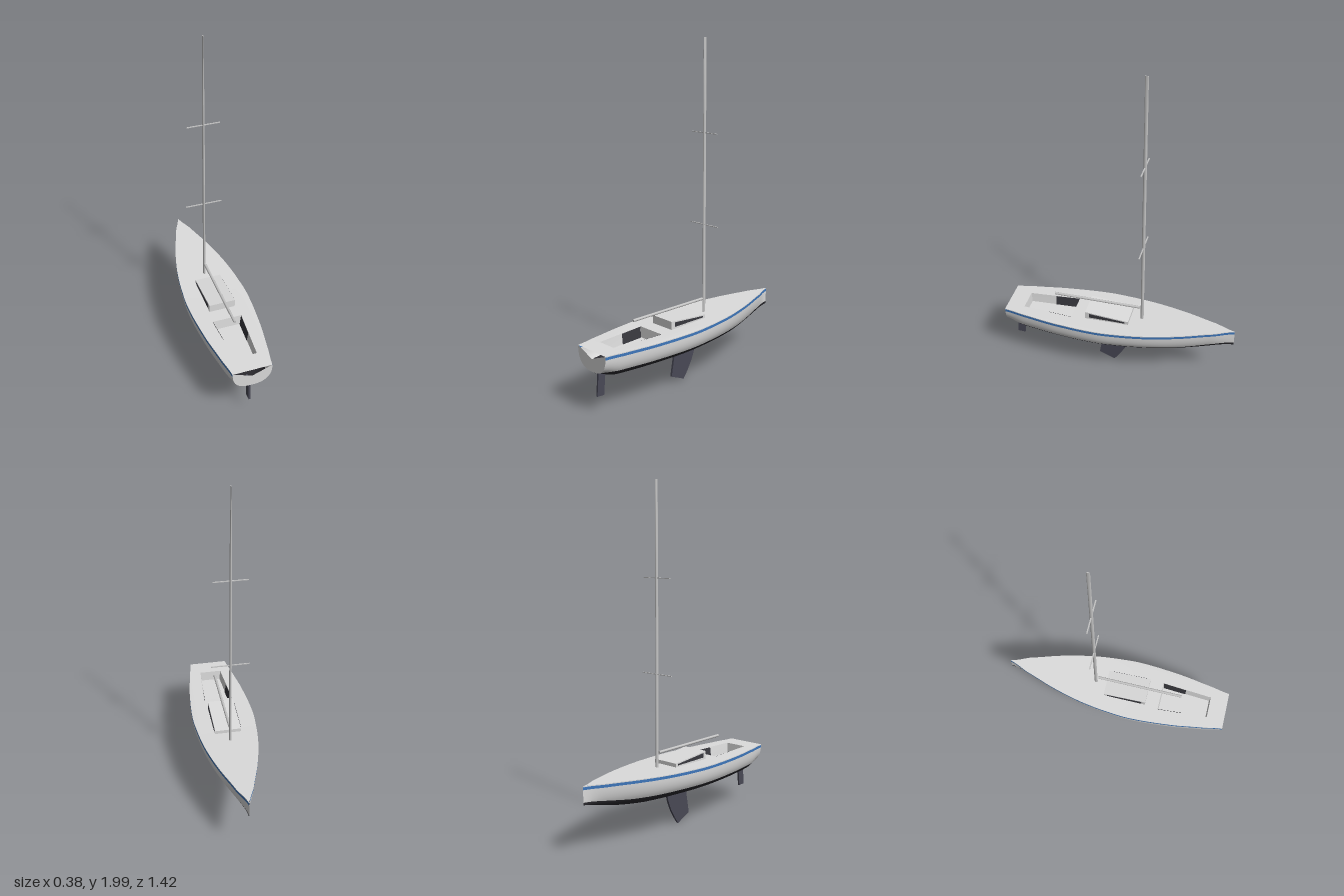
import * as THREE from 'three';

const mat = (name, color, side = THREE.FrontSide) => {
  const m = new THREE.MeshStandardMaterial({ color, side });
  m.name = name;
  return m;
};

// Piecewise smooth interpolation of [z, value] stations
function curve(points) {
  const c = new THREE.SplineCurve(points.map(p => new THREE.Vector2(p[0], p[1])));
  const n = points.length - 1;
  return z => {
    let i = 0;
    while (i < n - 1 && z > points[i + 1][0]) i++;
    const t = (z - points[i][0]) / (points[i + 1][0] - points[i][0]);
    return c.getPoint((i + Math.min(1, Math.max(0, t))) / n).y;
  };
}

const BOW = -0.71, STERN = 0.71, STEPS = 48;
const beam = curve([[-0.71, 0.001], [-0.6, 0.046], [-0.4, 0.111], [-0.2, 0.159], [0, 0.184], [0.15, 0.189], [0.4, 0.169], [0.6, 0.138], [0.71, 0.118]]);
const sheer = curve([[-0.71, 0.405], [-0.14, 0.386], [0.3, 0.378], [0.71, 0.376]]);
const keelLine = curve([[-0.71, 0.302], [-0.5, 0.252], [-0.3, 0.224], [0, 0.217], [0.4, 0.217], [0.62, 0.223], [0.71, 0.256]]);
const waterline = curve([[-0.71, 0.316], [-0.4, 0.28], [0, 0.272], [0.71, 0.27]]);
const fullness = curve([[-0.71, 1.7], [-0.3, 2.3], [0.2, 2.8], [0.71, 2.6]]);

// Half-width of the hull at station z and height y
function halfWidth(z, y) {
  const d = sheer(z), n = fullness(z);
  const t = Math.min(1, Math.max(0, (d - y) / (d - keelLine(z))));
  return beam(z) * Math.pow(1 - Math.pow(t, n), 1 / n);
}

// Surface over a grid of points f(i, j), optionally flipped
function grid(f, ni, nj, flip) {
  const pos = [], idx = [];
  for (let i = 0; i <= ni; i++) for (let j = 0; j <= nj; j++) pos.push(...f(i / ni, j / nj));
  for (let i = 0; i < ni; i++) for (let j = 0; j < nj; j++) {
    const a = i * (nj + 1) + j, b = a + 1, c = a + nj + 1, d = c + 1;
    idx.push(...(flip ? [a, b, c, b, d, c] : [a, c, b, b, c, d]));
  }
  const g = new THREE.BufferGeometry();
  g.setAttribute('position', new THREE.Float32BufferAttribute(pos, 3));
  g.setIndex(idx);
  g.computeVertexNormals();
  return g;
}

// Flat blade cut from a side outline of [z, y] points
function blade(outline, thickness) {
  const s = new THREE.Shape(outline.map(([z, y]) => new THREE.Vector2(-z, y)));
  const g = new THREE.ExtrudeGeometry(s, { depth: thickness, bevelEnabled: false });
  g.translate(0, 0, -thickness / 2);
  return g.rotateY(Math.PI / 2);
}

// Move every vertex of a geometry by a rule
function warp(g, rule) {
  const p = g.attributes.position, v = new THREE.Vector3();
  for (let i = 0; i < p.count; i++) {
    rule(v.fromBufferAttribute(p, i));
    p.setXYZ(i, v.x, v.y, v.z);
  }
  g.computeVertexNormals();
  return g;
}

export function createModel() {
  const white = mat('white hull', 0xdcdcdc, THREE.DoubleSide);
  const blue = mat('blue stripe', 0x3f78bd, THREE.DoubleSide);
  const bottom = mat('dark bottom paint', 0x2c2b30, THREE.DoubleSide);
  const fin = mat('fin grey', 0x484855);
  const metal = mat('mast metal', 0xc4c4c4);
  const glass = mat('dark trim', 0x38383e, THREE.DoubleSide);

  const model = new THREE.Group();
  const add = (name, geometry, material, parent = model) => {
    const m = new THREE.Mesh(geometry, material);
    m.name = name;
    parent.add(m);
    return m;
  };

  // Hull: bands between two heights, mirrored to both sides
  const hull = new THREE.Group();
  hull.name = 'hull';
  model.add(hull);
  const stripeTop = z => sheer(z) - 0.005, stripeLow = z => sheer(z) - 0.021;
  const bands = [
    ['gunwale', sheer, stripeTop, white, 1],
    ['stripe', stripeTop, stripeLow, blue, 1],
    ['topside', stripeLow, waterline, white, 8],
    ['underbody', waterline, keelLine, bottom, 12],
  ];
  for (const side of [1, -1]) for (const [name, top, low, material, rows] of bands) {
    add(name, grid((u, v) => {
      const z = BOW + (STERN - BOW) * u;
      const w = name === 'underbody' ? Math.sin(v * Math.PI / 2) : v;
      const y = top(z) + (low(z) - top(z)) * w;
      return [side * (v === 1 && name === 'underbody' ? 0 : halfWidth(z, y)), y, z];
    }, STEPS, rows, side > 0), material, hull);
  }

  // Transom with a shallow V notch at the top
  const transom = new THREE.Shape();
  transom.moveTo(0, 0.33);
  const top = sheer(STERN), low = keelLine(STERN);
  const edge = [];
  for (let i = 0; i <= 16; i++) {
    const y = top + (low - top) * Math.sin(i / 16 * Math.PI / 2);
    edge.push([halfWidth(STERN, y), y]);
  }
  edge.forEach(([x, y]) => transom.lineTo(-x, y));
  edge.slice(0, -1).reverse().forEach(([x, y]) => transom.lineTo(x, y));
  add('transom', new THREE.ShapeGeometry(transom).translate(0, 0, STERN), white, hull);

  // Deck following the sheer, with the cockpit opening
  const deckPoints = [];
  for (let i = 0; i <= STEPS; i++) {
    const z = BOW + (STERN - BOW) * i / STEPS;
    deckPoints.push(new THREE.Vector2(beam(z), -z));
  }
  const port = deckPoints.slice(1).reverse().map(p => new THREE.Vector2(-p.x, p.y));
  const deckShape = new THREE.Shape([...deckPoints, ...port]);
  const rim = [[-0.09, 0.285], [0.09, 0.285], [0.067, 0.6], [-0.067, 0.6]];
  deckShape.holes.push(new THREE.Path(rim.map(([x, z]) => new THREE.Vector2(x, -z))));
  const deck = new THREE.ShapeGeometry(deckShape).rotateX(-Math.PI / 2);
  add('deck', warp(deck, v => { v.y = sheer(v.z); }), white);

  // Cockpit well: sloping walls and a floor
  const floorY = 0.315;
  const sole = [[-0.08, 0.29], [0.08, 0.29], [0.062, 0.595], [-0.062, 0.595]];
  const wall = (k, a, b, inset = 0) => (u, v) => {
    const n = (k + 1) % 4, t = a + (b - a) * u, mix = (p, q, s) => p + (q - p) * s;
    const x = mix(mix(rim[k][0], rim[n][0], t), mix(sole[k][0], sole[n][0], t), v);
    const z = mix(mix(rim[k][1], rim[n][1], t), mix(sole[k][1], sole[n][1], t), v);
    return [x - Math.sign(x) * inset, mix(sheer(z), floorY, v), z];
  };
  for (let k = 0; k < 4; k++) add('cockpitWall', grid(wall(k, 0, 1), 1, 1, true), white);
  add('cockpitFloor', new THREE.ShapeGeometry(new THREE.Shape(
    sole.map(([x, z]) => new THREE.Vector2(x, -z)))).rotateX(-Math.PI / 2).translate(0, floorY, 0), white);
  add('cockpitTrim', grid(wall(1, 0.01, 0.48, 0.002), 1, 1, true), glass);
  add('cockpitTrim', grid(wall(3, 0.52, 0.99, 0.002), 1, 1, true), glass);

  // Low cabin with a roof sloping down toward the bow
  const roof = z => 0.406 + (z + 0.07) / 0.27 * 0.022;
  const cabin = new THREE.BoxGeometry(0.16, 0.04, 0.27).translate(0, 0, 0.065);
  add('cabin', warp(cabin, v => { v.y = v.y > 0 ? roof(v.z) : 0.375; }), white);
  for (const s of [1, -1]) {
    const pane = new THREE.BoxGeometry(0.005, 0.02, 0.225).translate(s * 0.081, 0, 0.063);
    add('cabinWindow', warp(pane, v => { v.y = v.y > 0 ? roof(v.z) - 0.007 : 0.393; }), glass);
  }

  // Oval mast, tapering sideways near the top
  const mast = new THREE.CylinderGeometry(1, 1, 1.62, 16, 12).translate(0, 1.19, 0);
  warp(mast, v => {
    v.x *= 0.007 - 0.005 * Math.max(0, (v.y - 1.6) / 0.4);
    v.z = v.z * 0.01 - 0.14;
  });
  add('mast', mast, metal);

  // Spreaders
  for (const [y, half] of [[0.925, 0.11], [1.465, 0.098]])
    add('spreader', new THREE.BoxGeometry(half * 2, 0.004, 0.007).translate(0, y, -0.14), metal);

  // Boom
  add('boom', new THREE.CylinderGeometry(0.008, 0.008, 0.54, 14).rotateX(Math.PI / 2).translate(0, 0.47, 0.146), metal);

  // Keel fin and rudder
  add('keel', blade([[0.1, 0.235], [0.105, 0.2], [0.132, 0.05], [0.035, 0.008], [0.005, 0.05],
    [-0.03, 0.11], [-0.052, 0.165], [-0.068, 0.235]], 0.013), fin);
  add('rudder', blade([[0.67, 0.25], [0.682, 0.103], [0.636, 0.1], [0.622, 0.25]], 0.011), fin);

  return model;
}
